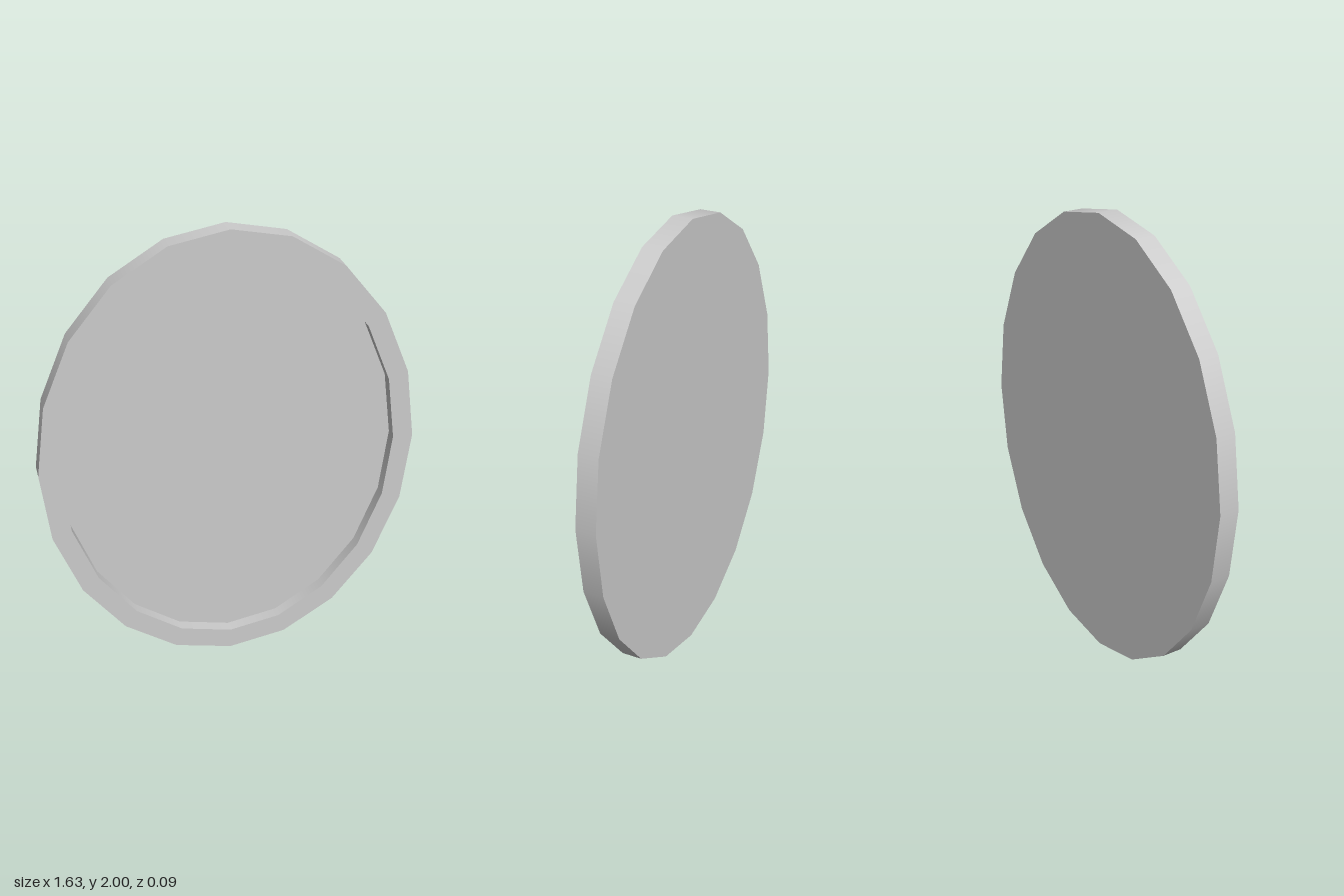
import * as THREE from 'three';

const SIDES = 20;
const OUTER = [0.815, 1];
const INNER = [0.727, 0.908];
const BACK = -0.045, FLOOR = -0.01, FRONT = 0.045;

// Corner points of a twenty-sided oval
function oval([rx, ry]) {
  return Array.from({ length: SIDES }, (_, i) => {
    const a = (i / SIDES) * Math.PI * 2;
    return new THREE.Vector2(rx * Math.cos(a), ry * Math.sin(a));
  });
}

// Smooth oval wall along z; it faces outward when z0 < z1 and inward otherwise
function wall([rx, ry], z0, z1) {
  const profile = [new THREE.Vector2(1, z0), new THREE.Vector2(1, z1)];
  return new THREE.LatheGeometry(profile, SIDES).rotateX(Math.PI / 2).scale(rx, ry, 1);
}

export function createModel() {
  const group = new THREE.Group();
  group.name = 'ovalFrame';
  const material = new THREE.MeshStandardMaterial({ color: 0xcccccc });
  const add = (name, geometry) => {
    const mesh = new THREE.Mesh(geometry.translate(0, 1, 0), material);
    mesh.name = name;
    group.add(mesh);
  };

  // Raised rim around the recess
  const rim = new THREE.Shape(oval(OUTER));
  rim.holes.push(new THREE.Path(oval(INNER)));
  add('rimFace', new THREE.ShapeGeometry(rim).translate(0, 0, FRONT));
  add('rimOuterWall', wall(OUTER, BACK, FRONT));
  add('rimInnerWall', wall(INNER, FRONT, FLOOR));

  // Recessed front panel and flat back
  add('panel', new THREE.ShapeGeometry(new THREE.Shape(oval(INNER))).translate(0, 0, FLOOR));
  add('backPlate', new THREE.ShapeGeometry(new THREE.Shape(oval(OUTER))).rotateY(Math.PI).translate(0, 0, BACK));

  return group;
}
